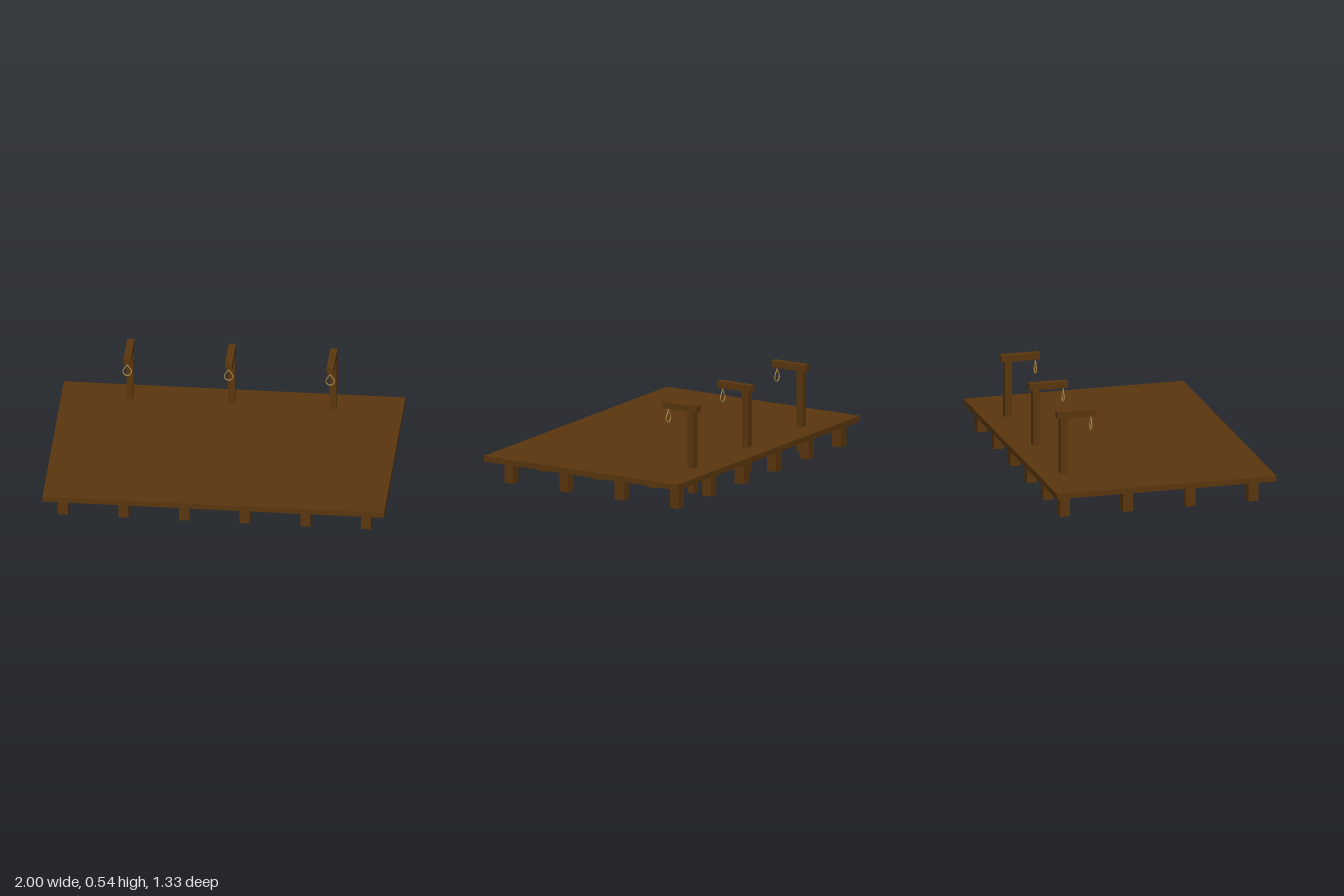
import * as THREE from 'three';

export function createModel() {
  const model = new THREE.Group();
  const wood = new THREE.MeshStandardMaterial({ name: 'darkWood', color: 0x5a360e });
  const rope = new THREE.MeshStandardMaterial({ name: 'tanRope', color: 0xa5854a });

  const box = (parent, name, w, h, d, x, y, z) => {
    const mesh = new THREE.Mesh(new THREE.BoxGeometry(w, h, d), wood);
    mesh.name = name;
    mesh.position.set(x, y, z);
    parent.add(mesh);
  };

  // Deck
  box(model, 'platform', 2, 0.033, 1.332, 0, 0.151, 0);

  // Grid of short legs under the deck
  const legs = new THREE.Group();
  legs.name = 'legs';
  for (let i = 0; i < 6; i++) {
    for (let j = 0; j < 4; j++) {
      box(legs, 'leg', 0.06, 0.136, 0.06, -0.889 + i * 0.355, 0.068, 0.548 - j * 0.38);
    }
  }
  model.add(legs);

  // Teardrop rope loop, closed at the knot
  const loopPath = new THREE.CatmullRomCurve3([
    [0, 0.487], [-0.012, 0.47], [-0.024, 0.449], [-0.022, 0.43], [-0.011, 0.419],
    [0, 0.416], [0.011, 0.419], [0.022, 0.43], [0.024, 0.449], [0.012, 0.47],
  ].map(([x, y]) => new THREE.Vector3(x, y, 0)), true);
  const loopGeometry = new THREE.TubeGeometry(loopPath, 24, 0.004, 6, true);
  const strandGeometry = new THREE.CylinderGeometry(0.004, 0.004, 0.024, 6);

  // Upright frames along the back edge
  for (const x of [-0.597, -0.003, 0.591]) {
    const frame = new THREE.Group();
    frame.name = 'frame';
    frame.position.x = x;
    box(frame, 'post', 0.042, 0.484, 0.042, 0, 0.262, -0.514);
    box(frame, 'arm', 0.042, 0.039, 0.233, 0, 0.5225, -0.4385);

    const hanging = new THREE.Group();
    hanging.name = 'hangingRope';
    hanging.position.set(-0.002, 0, -0.346);
    const loop = new THREE.Mesh(loopGeometry, rope);
    loop.name = 'ropeLoop';
    const strand = new THREE.Mesh(strandGeometry, rope);
    strand.name = 'ropeStrand';
    strand.position.y = 0.494;
    hanging.add(loop, strand);
    frame.add(hanging);
    model.add(frame);
  }
  return model;
}
